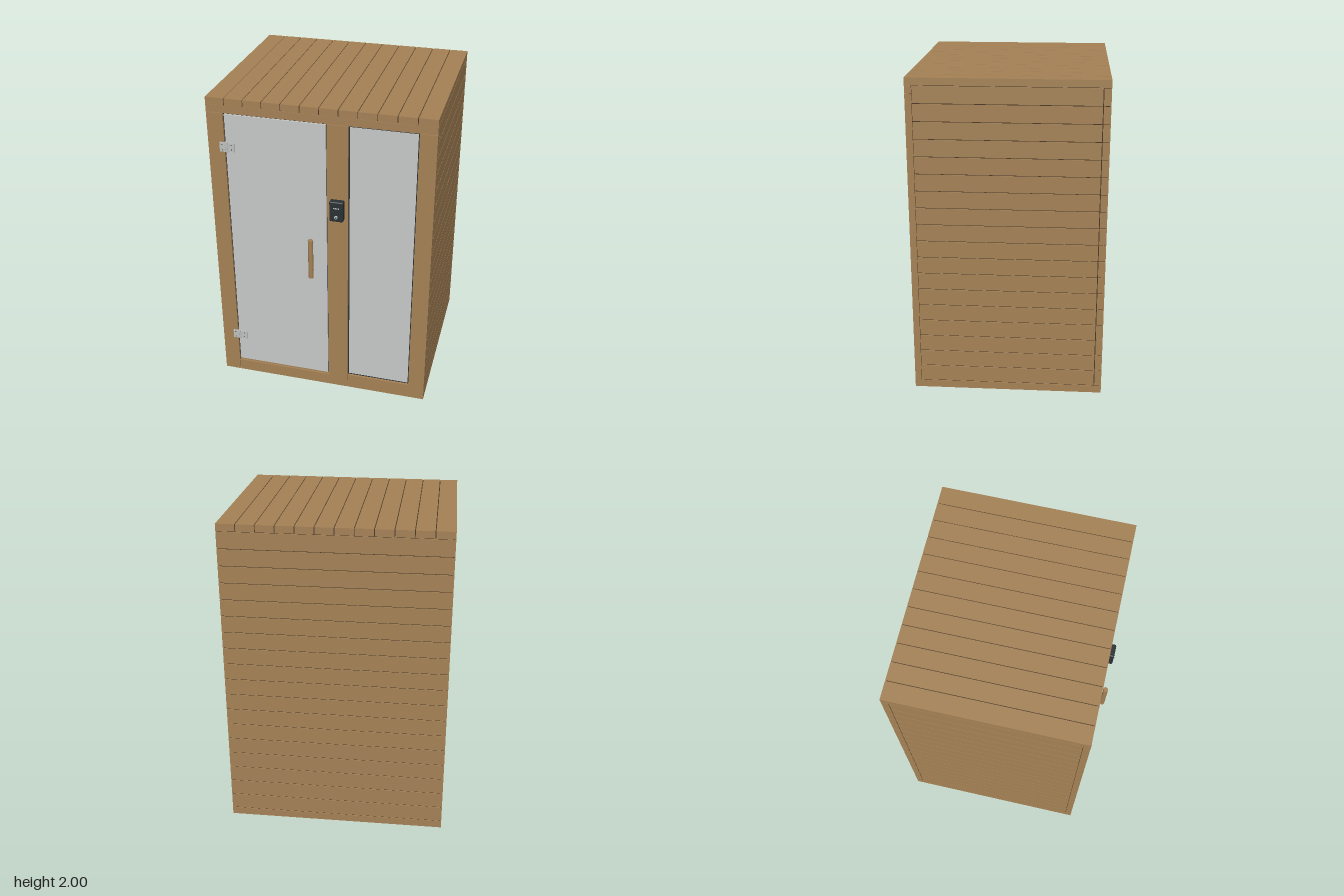
import * as THREE from 'three';
import { RoundedBoxGeometry } from 'three/addons/geometries/RoundedBoxGeometry.js';

const material = (name, color, side = THREE.FrontSide) => {
  const m = new THREE.MeshStandardMaterial({ color, side });
  m.name = name;
  return m;
};

export function createModel() {
  const root = new THREE.Group();
  root.name = 'saunaCabin';
  const wood = material('cedar wood', 0xa58256);
  const seam = material('dark seam', 0x4a3926);
  const glass = material('pale glass', 0xc8cac9);
  const metal = material('satin metal', 0xbfc1c1);
  const black = material('charcoal', 0x2a3134);

  const add = (name, geometry, mat, x = 0, y = 0, z = 0, parent = root) => {
    const mesh = new THREE.Mesh(geometry, mat);
    mesh.name = name;
    mesh.position.set(x, y, z);
    parent.add(mesh);
    return mesh;
  };
  // Box given by its lower and upper limits on each axis
  const box = (name, mat, x0, x1, y0, y1, z0, z1, parent = root) =>
    add(name, new THREE.BoxGeometry(x1 - x0, y1 - y0, z1 - z0), mat,
      (x0 + x1) / 2, (y0 + y1) / 2, (z0 + z1) / 2, parent);
  const group = (name) => {
    const g = new THREE.Group();
    g.name = name;
    root.add(g);
    return g;
  };

  const W = 0.69, BACK = -0.62, FRONT = 0.565;
  const LOW = 0.05, HIGH = 1.955, G = 0.0025; // G is half of a seam

  // Dark core that shows through the plank seams
  box('wallCore', seam, -W + 0.005, W - 0.005, 0.03, 1.96, BACK + 0.005, 0.54);
  box('roofCore', seam, -W + 0.005, W - 0.005, 1.94, 1.995, BACK + 0.005, FRONT - 0.005);
  box('floor', wood, -W, W, 0, LOW - G, BACK, FRONT - 0.006);

  // Horizontal planks on both sides and the back
  const walls = group('wallPlanks');
  const rows = 18, step = (HIGH - LOW) / rows;
  for (let i = 0; i < rows; i++) {
    const y0 = LOW + i * step + G, y1 = LOW + (i + 1) * step - G;
    box('backPlank', wood, -W, W, y0, y1, BACK, -0.575 - G, walls);
    for (const s of [-1, 1]) {
      const a = s * W, b = s * (W - 0.04);
      box('sidePlank', wood, Math.min(a, b), Math.max(a, b), y0, y1, -0.575 + G, 0.525 - G, walls);
    }
  }

  // Roof planks running front to back
  const roof = group('roofPlanks');
  const pitch = 2 * W / 12;
  for (let i = 0; i < 12; i++) {
    const x = -W + i * pitch;
    box('roofPlank', wood, x + (i ? G : 0), x + pitch - (i < 11 ? G : 0), HIGH + 0.001, 2, BACK, FRONT, roof);
  }

  // Front frame
  const frame = group('frontFrame');
  box('header', wood, -W, W, 1.907, HIGH, 0.525, FRONT, frame);
  box('leftPost', wood, 0.587, W, 0, 1.904, 0.525, FRONT, frame);
  box('rightPost', wood, -W, -0.587, 0, 1.904, 0.525, FRONT, frame);
  box('centrePost', wood, 0.046, 0.175, 0, 1.904, 0.525, FRONT, frame);
  box('doorSill', wood, -0.584, 0.046, 0, 0.078, 0.525, FRONT, frame);
  box('doorStop', wood, -0.575, 0.036, 0.08, 0.093, 0.525, 0.555, frame);
  box('windowSill', wood, 0.178, 0.587, 0, 0.1, 0.525, FRONT, frame);

  // Glass door and fixed window with dark edging
  box('doorSeal', black, -0.587, 0.046, 0.093, 1.907, 0.53, 0.55);
  box('doorGlass', glass, -0.58, 0.04, 0.093, 1.899, 0.54, 0.561);
  box('windowSeal', black, 0.175, 0.587, 0.1, 1.907, 0.53, 0.55);
  box('windowGlass', glass, 0.183, 0.58, 0.11, 1.897, 0.54, 0.554);

  // Hinges, each with two leaves, a knuckle and screws
  for (const y of [0.3, 1.69]) {
    const hinge = group('hinge');
    hinge.position.set(-0.57, y, FRONT);
    box('postLeaf', metal, -0.046, -0.008, -0.03, 0.03, -0.002, 0.008, hinge);
    box('doorLeaf', metal, 0.004, 0.046, -0.029, 0.029, -0.006, 0.004, hinge);
    add('knuckle', new THREE.CylinderGeometry(0.008, 0.008, 0.068, 16), metal, -0.004, 0, 0, hinge);
    for (const [x, sy, z] of [[-0.03, 0.018, 0.008], [-0.03, -0.018, 0.008], [0.027, 0.014, 0.004], [0.027, -0.014, 0.004]]) {
      add('screw', new THREE.CylinderGeometry(0.003, 0.003, 0.002, 10), black, x, sy, z, hinge)
        .rotation.x = Math.PI / 2;
    }
  }

  // Door handle on two standoffs
  const handle = group('doorHandle');
  add('grip', new THREE.CylinderGeometry(0.016, 0.016, 0.27, 24), wood, -0.052, 1.004, 0.604, handle);
  for (const y of [0.902, 1.106]) {
    add('standoff', new THREE.CylinderGeometry(0.008, 0.008, 0.045, 16), metal, -0.052, y, 0.58, handle)
      .rotation.x = Math.PI / 2;
  }

  // Control panel with a small readout and a dial
  const panel = group('controlPanel');
  add('panelBody', new RoundedBoxGeometry(0.086, 0.134, 0.042, 3, 0.008), black, 0.112, 1.36, 0.586, panel);
  for (const [x, w] of [[0.098, 0.01], [0.112, 0.012], [0.126, 0.01]]) {
    box('readoutBar', metal, x - w / 2, x + w / 2, 1.381, 1.389, 0.605, 0.608, panel);
  }
  add('dial', new THREE.CylinderGeometry(0.01, 0.011, 0.01, 20), metal, 0.112, 1.326, 0.609, panel)
    .rotation.x = Math.PI / 2;
  add('dialCap', new THREE.CylinderGeometry(0.005, 0.005, 0.002, 16), black, 0.112, 1.326, 0.614, panel)
    .rotation.x = Math.PI / 2;

  return root;
}
